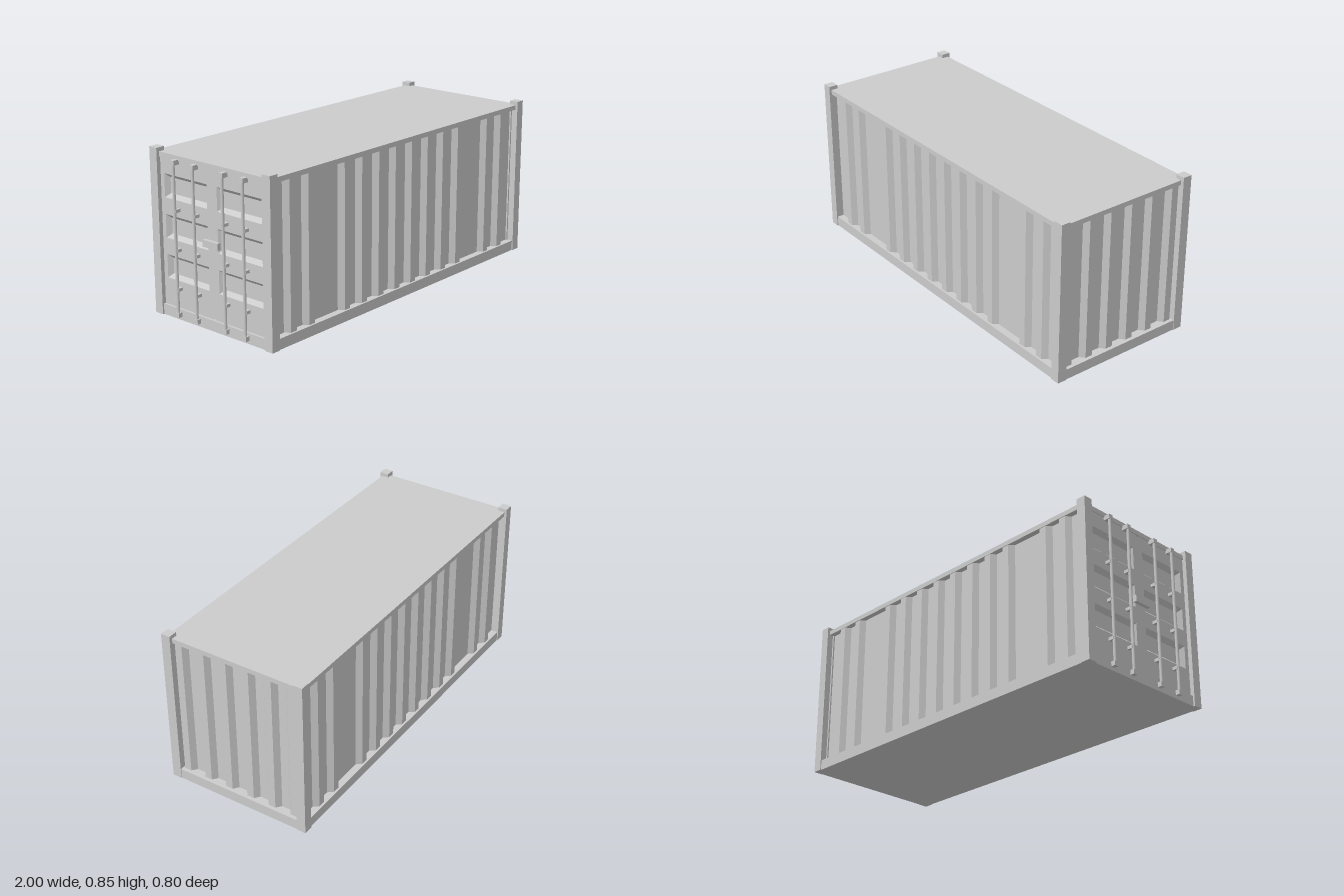
import * as THREE from 'three';

const material = new THREE.MeshStandardMaterial({ color: 0xcccccc, flatShading: true });
const thinMaterial = new THREE.MeshStandardMaterial({ color: 0xcccccc, flatShading: true, side: THREE.DoubleSide });
const rodMaterial = new THREE.MeshStandardMaterial({ color: 0xcccccc });

const BASE = 0.055, TOP = 0.805, ROOF = 0.83;
const MID_X = 0.0055; // middle of the body, as the door rods stick out at -x

function add(parent, name, geometry, mat = material) {
  const mesh = new THREE.Mesh(geometry, mat);
  mesh.name = name;
  parent.add(mesh);
  return mesh;
}

// box given by its limits
function box(parent, name, x0, x1, y0, y1, z0, z1) {
  const g = new THREE.BoxGeometry(x1 - x0, y1 - y0, z1 - z0);
  g.translate((x0 + x1) / 2, (y0 + y1) / 2, (z0 + z1) / 2);
  return add(parent, name, g);
}

// corrugated wall along x facing +z, its rib crests at z = 0
function corrugatedWall(halfLength, ribs) {
  const depth = 0.027, crest = 0.0195, foot = 0.041;
  const shape = new THREE.Shape();
  shape.moveTo(-halfLength, depth + 0.01);
  shape.lineTo(-halfLength, depth);
  for (const c of ribs) {
    shape.lineTo(c - foot, depth);
    shape.lineTo(c - crest, 0);
    shape.lineTo(c + crest, 0);
    shape.lineTo(c + foot, depth);
  }
  shape.lineTo(halfLength, depth);
  shape.lineTo(halfLength, depth + 0.01);
  const g = new THREE.ExtrudeGeometry(shape, { depth: TOP - BASE, bevelEnabled: false });
  g.rotateX(-Math.PI / 2);
  g.translate(0, BASE, 0);
  return g;
}

const mirrored = (list) => [...list.map((v) => -v).reverse(), ...list];

// rectangle corners, counter-clockwise
const corners = (x0, x1, y0, y1) => [[x0, y0], [x1, y0], [x1, y1], [x0, y1]];

// sloping sides and floor of a pressed recess
function recessGeometry(x0, x1, y0, y1, slope, depth) {
  const outer = corners(x0, x1, y0, y1);
  const inner = corners(x0 + slope, x1 - slope, y0 + slope, y1 - slope);
  const points = [...outer.map((p) => [...p, 0]), ...inner.map((p) => [...p, -depth])];
  const index = [4, 5, 6, 4, 6, 7];
  for (let i = 0; i < 4; i++) {
    const j = (i + 1) % 4;
    index.push(i, j, 4 + j, i, 4 + j, 4 + i);
  }
  const g = new THREE.BufferGeometry();
  g.setAttribute('position', new THREE.Float32BufferAttribute(points.flat(), 3));
  g.setIndex(index);
  const flat = g.toNonIndexed();
  flat.computeVertexNormals();
  return flat;
}

// one door leaf in the xy plane, facing +z
function door(x0, x1) {
  const leaf = new THREE.Group();
  leaf.name = 'door';
  const face = new THREE.Shape(corners(x0, x1, BASE, TOP).map((p) => new THREE.Vector2(...p)));
  for (const y of [0.195, 0.4, 0.605]) {
    const rect = [x0 + 0.03, x1 - 0.03, y, y + 0.12];
    face.holes.push(new THREE.Path(corners(...rect).reverse().map((p) => new THREE.Vector2(...p))));
    add(leaf, 'doorRecess', recessGeometry(...rect, 0.02, 0.022), thinMaterial);
  }
  add(leaf, 'doorFace', new THREE.ShapeGeometry(face), thinMaterial);
  return leaf;
}

// door end: local x runs along world z, local z points out to -x
function doorEnd() {
  const end = new THREE.Group();
  end.name = 'doorEnd';
  end.add(door(-0.355, -0.004), door(0.004, 0.355));
  box(end, 'doorSeal', -0.02, 0.02, BASE, TOP, -0.02, -0.008);

  // locking rods with keepers and guides
  for (const x of [-0.23, -0.098, 0.098, 0.23]) {
    const rod = add(end, 'lockingRod', new THREE.CylinderGeometry(0.008, 0.008, 0.79, 10), rodMaterial);
    rod.position.set(x, 0.415, 0.027);
    for (const y of [0.03, 0.8]) {
      box(end, 'rodKeeper', x - 0.012, x + 0.012, y - 0.012, y + 0.012, 0, 0.035);
    }
    for (const y of [0.16, 0.36, 0.56]) {
      box(end, 'rodGuide', x - 0.01, x + 0.01, y - 0.008, y + 0.008, 0, 0.028);
    }
  }
  // latch across the gap between the doors
  box(end, 'latchBox', -0.05, 0.05, 0.42, 0.455, 0, 0.02);

  end.rotation.y = -Math.PI / 2;
  end.position.x = -0.965;
  return end;
}

export function createModel() {
  const model = new THREE.Group();
  model.name = 'shippingContainer';

  // frame
  box(model, 'floorFrame', -0.978, 0.997, 0, BASE, -0.395, 0.395);
  box(model, 'roof', -0.97, 0.982, TOP, ROOF, -0.387, 0.387);
  for (const z of [-0.375, 0.375]) {
    for (const x of [-0.962, 0.975]) {
      box(model, 'cornerPost', x - 0.025, x + 0.025, 0, 0.85, z - 0.025, z + 0.025);
    }
  }

  // long walls, front and back
  const sideRibs = mirrored([0.064, 0.192, 0.32, 0.448, 0.703, 0.83]);
  for (const s of [1, -1]) {
    const wall = add(model, 'sideWall', corrugatedWall(0.95, sideRibs));
    wall.position.set(MID_X, 0, s * 0.384);
    if (s < 0) wall.rotation.y = Math.PI;
  }

  // closed end
  const endWall = add(model, 'endWall', corrugatedWall(0.365, mirrored([0.064, 0.192, 0.32])));
  endWall.rotation.y = Math.PI / 2;
  endWall.position.x = 0.978;

  model.add(doorEnd());
  return model;
}
